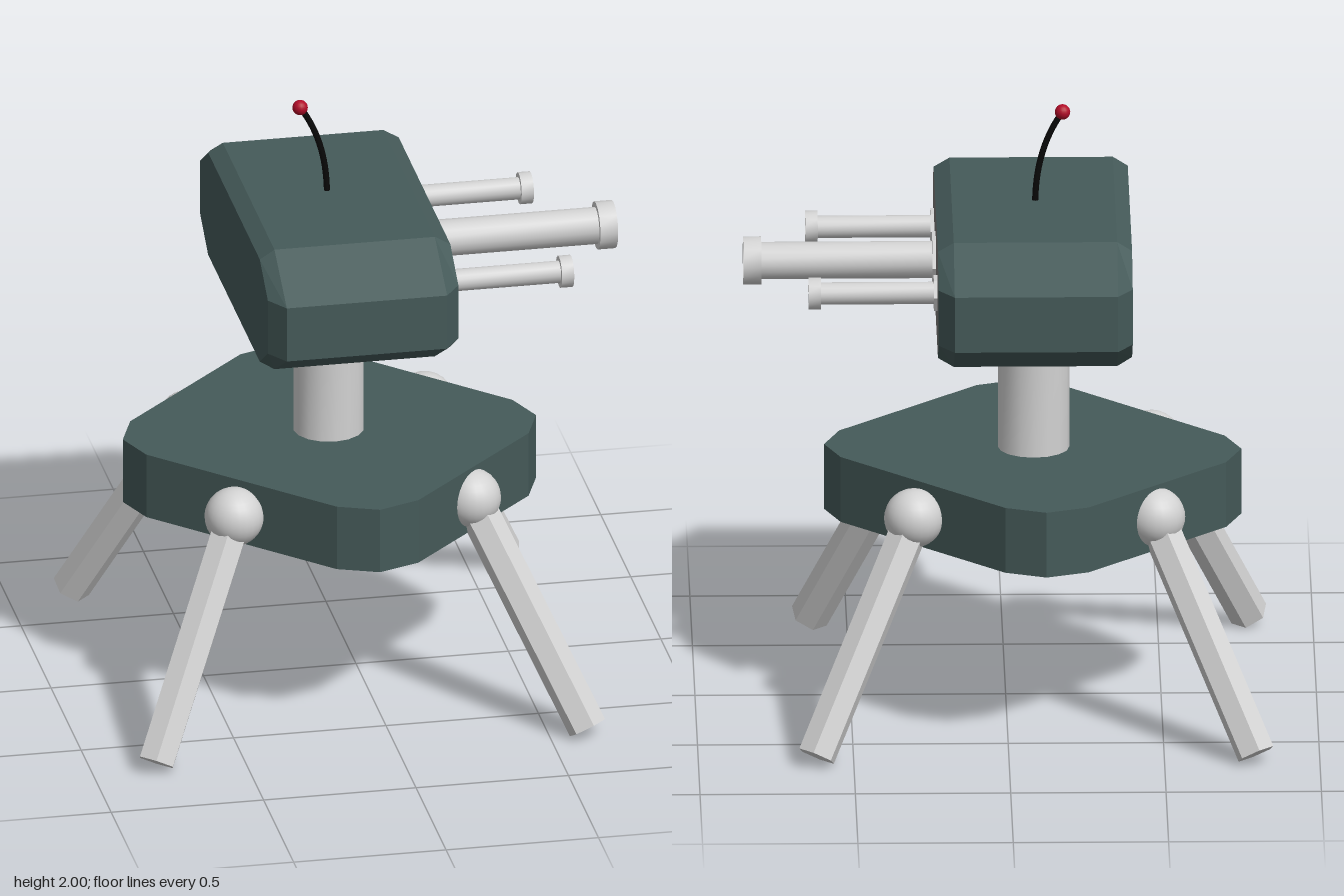
import * as THREE from 'three';
import { toCreasedNormals } from 'three/addons/utils/BufferGeometryUtils.js';

const mat = (name, color, flatShading = false) => {
  const m = new THREE.MeshStandardMaterial({ color, flatShading });
  m.name = name;
  return m;
};

export function createModel() {
  const model = new THREE.Group();
  const green = mat('darkGreen', 0x455a59);
  const grey = mat('panelGrey', 0x7a7877);
  const metal = mat('lightMetal', 0xd2d2d2);
  const black = mat('black', 0x080808);
  const red = mat('red', 0xb00c28);
  const CX = -0.087; // vertical axis of body and neck

  const add = (name, geo, material, x = 0, y = 0, z = 0, parent = model) => {
    const mesh = new THREE.Mesh(geo, material);
    mesh.name = name;
    mesh.position.set(x, y, z);
    parent.add(mesh);
    return mesh;
  };

  // Body: diamond plate with clipped corners, given as x, z pairs
  const half = [[0.62, -0.098], [0.671, 0.034], [0.62, 0.17], [0.17, 0.62], [0.034, 0.671], [-0.098, 0.62]];
  const outline = [...half, ...half.map(([x, z]) => [-x, -z])];
  const plate = new THREE.Shape(outline.map(([x, z]) => new THREE.Vector2(x, -z)));
  const plateGeo = new THREE.ExtrudeGeometry(plate, { depth: 0.22, bevelEnabled: false });
  plateGeo.rotateX(-Math.PI / 2);
  add('body', plateGeo, green, CX, 0.62, 0);

  // Neck
  add('neck', toCreasedNormals(new THREE.CylinderGeometry(0.115, 0.115, 0.44, 16), 0.8), metal, CX - 0.003, 1.05, 0);

  // Head: octagonal sections along x with chamfered ends, front cap in panel grey
  const section = (x, h, w) => [[h, -0.43], [h, 0.43], [0.0935, w], [-0.0935, w],
    [-h, 0.43], [-h, -0.43], [-0.0935, -w], [0.0935, -w]].map(([y, z]) => [x, y, z]);
  const loops = [section(-0.4, 0.18, 0.563), section(-0.352, 0.2105, 0.636),
    section(0.174, 0.2105, 0.636), section(0.225, 0.18, 0.563)];
  const pos = [];
  for (let s = 0; s < 3; s++) {
    for (let i = 0; i < 8; i++) {
      const j = (i + 1) % 8, a = loops[s], b = loops[s + 1];
      pos.push(...a[i], ...a[j], ...b[j], ...a[i], ...b[j], ...b[i]);
    }
  }
  for (let i = 1; i < 7; i++) pos.push(...loops[0][0], ...loops[0][i + 1], ...loops[0][i]);
  const shellCount = pos.length / 3;
  for (let i = 1; i < 7; i++) pos.push(...loops[3][0], ...loops[3][i], ...loops[3][i + 1]);
  const headGeo = new THREE.BufferGeometry();
  headGeo.setAttribute('position', new THREE.Float32BufferAttribute(pos, 3));
  headGeo.addGroup(0, shellCount, 0);
  headGeo.addGroup(shellCount, 18, 1);
  headGeo.computeVertexNormals();
  add('head', headGeo, [green, grey], 0, 1.4665, 0);

  // Barrels: hollow muzzle, dark bore and hexagonal nut at the root
  const barrel = (name, z, length, r, collarR, collarL, nutR) => {
    const g = new THREE.Group();
    g.name = name;
    g.position.set(0.225, 1.476, z);
    const bore = r * 0.98;
    const profile = [[r, 0], [r, length - collarL], [collarR, length - collarL], [collarR, length],
      [bore, length], [bore, length - collarL * 0.7]].map(([x, y]) => new THREE.Vector2(x, y));
    const tube = toCreasedNormals(new THREE.LatheGeometry(profile, 16), 0.8);
    tube.rotateZ(-Math.PI / 2);
    add('tube', tube, metal, 0, 0, 0, g);
    const disc = new THREE.CircleGeometry(bore, 16);
    disc.rotateY(Math.PI / 2);
    add('bore', disc, black, length - collarL * 0.7, 0, 0, g);
    const nut = toCreasedNormals(new THREE.CylinderGeometry(nutR, nutR, 0.02, 6), 0.5);
    nut.rotateZ(-Math.PI / 2);
    add('nut', nut, metal, 0.002, 0, 0, g);
    model.add(g);
  };
  barrel('mainBarrel', 0, 0.62, 0.06, 0.078, 0.058, 0.094);
  for (const s of [1, -1]) barrel(s > 0 ? 'frontBarrel' : 'backBarrel', s * 0.336, 0.415, 0.036, 0.052, 0.04, 0.059);

  // Legs: ball joint and slanted hexagonal strut on each diagonal
  const hip = new THREE.Vector2(0.55, 0.73), foot = new THREE.Vector2(1.0, 0.03);
  const strut = toCreasedNormals(new THREE.CylinderGeometry(0.064, 0.064, hip.distanceTo(foot), 6), 0.5);
  const ball = new THREE.SphereGeometry(0.096, 24, 16);
  ['frontLeftLeg', 'backLeftLeg', 'backRightLeg', 'frontRightLeg'].forEach((name, i) => {
    const leg = new THREE.Group();
    leg.name = name;
    leg.position.x = CX;
    leg.rotation.y = -Math.PI / 4 + i * Math.PI / 2;
    add('joint', ball, metal, hip.x, hip.y, 0, leg);
    const m = add('strut', strut, metal, (hip.x + foot.x) / 2, (hip.y + foot.y) / 2, 0, leg);
    m.rotation.z = Math.atan2(foot.x - hip.x, hip.y - foot.y);
    model.add(leg);
  });

  // Antenna
  const curve = new THREE.QuadraticBezierCurve3(new THREE.Vector3(-0.095, 1.66, 0),
    new THREE.Vector3(-0.095, 1.85, 0), new THREE.Vector3(-0.183, 1.975, 0));
  add('antenna', new THREE.TubeGeometry(curve, 16, 0.01, 8), black);
  add('antennaTip', new THREE.SphereGeometry(0.025, 16, 12), red, -0.183, 1.975, 0);

  return model;
}
